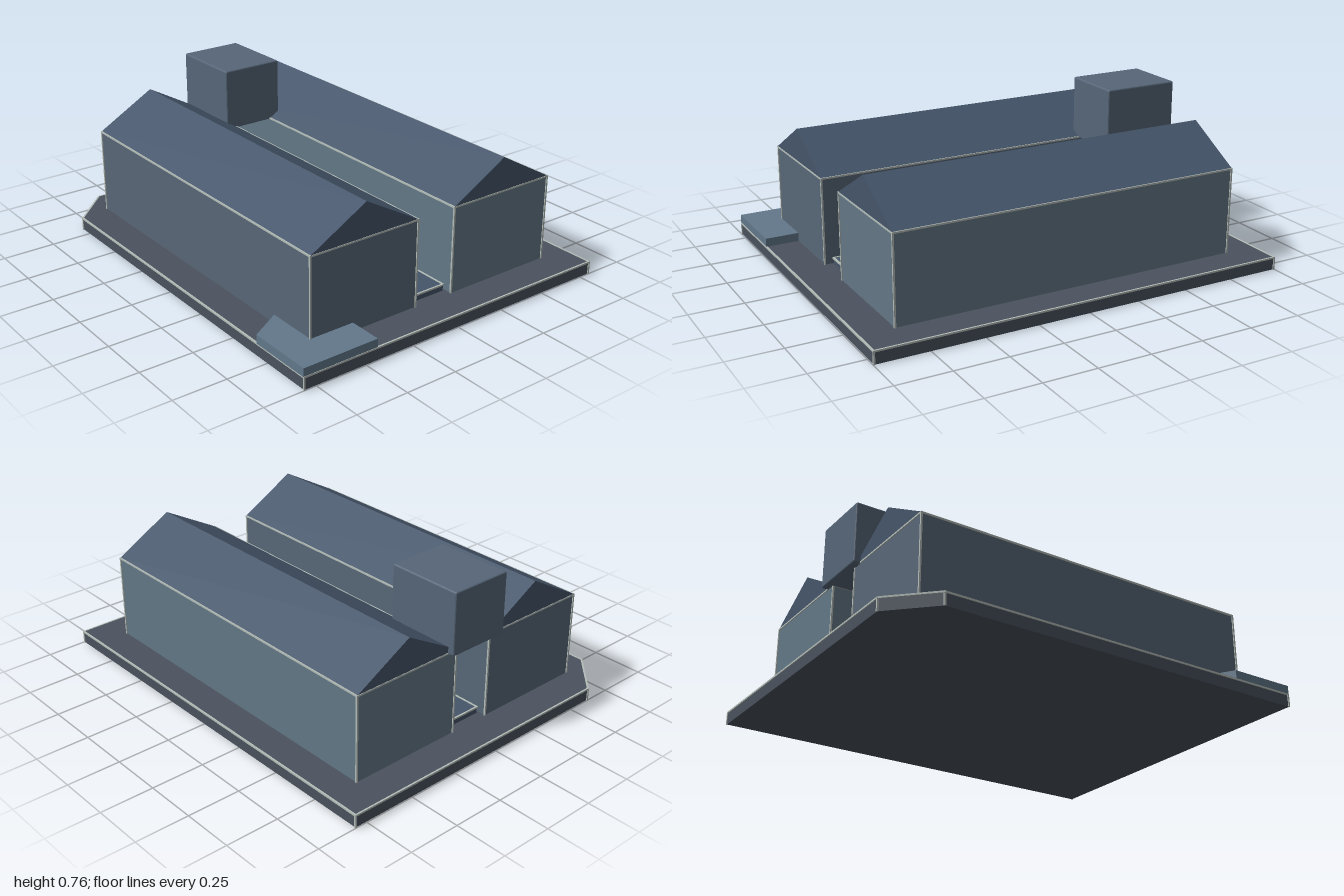
import * as THREE from 'three';
import { RoundedBoxGeometry } from 'three/addons/geometries/RoundedBoxGeometry.js';

const mat = (color) => new THREE.MeshStandardMaterial({ color, flatShading: true });
const M = {
  base: mat(0x4a525e), wallRight: mat(0x586777), wallLeft: mat(0x637886), roof: mat(0x45556a),
  tank: mat(0x566678), slab: mat(0x62788a), trim: mat(0xb4bdb8), strip: mat(0x2a7f8c), post: mat(0x66757f),
};

export function createModel() {
  const model = new THREE.Group();
  const T = 0.008; // trim thickness

  const add = (parent, name, geometry, material, x = 0, y = 0, z = 0) => {
    const mesh = new THREE.Mesh(geometry, material);
    mesh.name = name;
    mesh.position.set(x, y, z);
    parent.add(mesh);
    return mesh;
  };
  const box = (parent, name, w, h, d, material, x, y, z) =>
    add(parent, name, new THREE.BoxGeometry(w, h, d), material, x, y, z);

  // Flat plate from a ground outline of [x, z] points
  const plate = (name, outline, y0, y1, material) => {
    const shape = new THREE.Shape(outline.map(([x, z]) => new THREE.Vector2(x, -z)));
    const g = new THREE.ExtrudeGeometry(shape, { depth: y1 - y0, bevelEnabled: false });
    return add(model, name, g.rotateX(-Math.PI / 2), material, 0, y0, 0);
  };

  // Pale edging: a strip along each top edge, and a post at each corner if y0 is given
  const edging = (parent, name, outline, y1, y0) => {
    const group = new THREE.Group();
    group.name = name;
    parent.add(group);
    outline.forEach(([x, z], i) => {
      const [x2, z2] = outline[(i + 1) % outline.length];
      const dx = x2 - x, dz = z2 - z;
      const edge = box(group, 'edgeTrim', Math.hypot(dx, dz) + T, T, T, M.trim, (x + x2) / 2, y1, (z + z2) / 2);
      edge.rotation.y = -Math.atan2(dz, dx);
      if (y0 !== undefined) box(group, 'cornerTrim', T, y1 - y0, T, M.trim, x, (y0 + y1) / 2, z);
    });
  };
  const rect = (x0, x1, z0, z1) => [[x0, z0], [x1, z0], [x1, z1], [x0, z1]];

  // Base with one cut corner
  const baseOutline = [[-0.806, -0.81], [-0.62, -0.996], [0.806, -0.996], [0.806, 0.996], [-0.806, 0.996]];
  plate('base', baseOutline, 0, 0.06, M.base);
  edging(model, 'baseEdging', baseOutline, 0.058, 0);

  // Corner forecourt slab
  plate('forecourt', [[-0.81, 0.68], [-0.44, 0.46], [-0.44, 0.998], [-0.81, 0.998]], 0.06, 0.1, M.slab);

  // Two long gabled halls
  for (const side of [-1, 1]) {
    const hall = new THREE.Group();
    hall.name = side < 0 ? 'rightHall' : 'leftHall';
    hall.position.x = side * 0.38;
    model.add(hall);
    box(hall, 'walls', 0.555, 0.41, 1.675, side < 0 ? M.wallRight : M.wallLeft, 0, 0.265, 0);
    const gable = new THREE.Shape();
    gable.moveTo(-0.28, 0).lineTo(0.28, 0).lineTo(0, 0.158);
    gable.closePath();
    add(hall, 'roof', new THREE.ExtrudeGeometry(gable, { depth: 1.68, bevelEnabled: false }), M.roof, 0, 0.47, -0.84);
    edging(hall, 'wallEdging', rect(-0.278, 0.278, -0.838, 0.838), 0.468, 0.06);
  }

  // Raised walkway between the halls
  box(model, 'walkway', 0.18, 0.03, 1.6, M.roof, 0, 0.075, 0);
  edging(model, 'walkwayEdging', rect(-0.09, 0.09, -0.8, 0.8), 0.089);
  box(model, 'guideStrip', 0.014, 0.012, 0.5, M.strip, 0, 0.096, 0.31);
  for (let i = -2; i <= 2; i++) box(model, 'post', 0.02, 0.165, 0.02, M.post, 0, 0.1725, i * 0.31);

  // Raised block bridging the halls at the back
  add(model, 'bridgeBlock', new RoundedBoxGeometry(0.305, 0.296, 0.37, 2, 0.008), M.tank, 0, 0.612, -0.687);

  return model;
}
